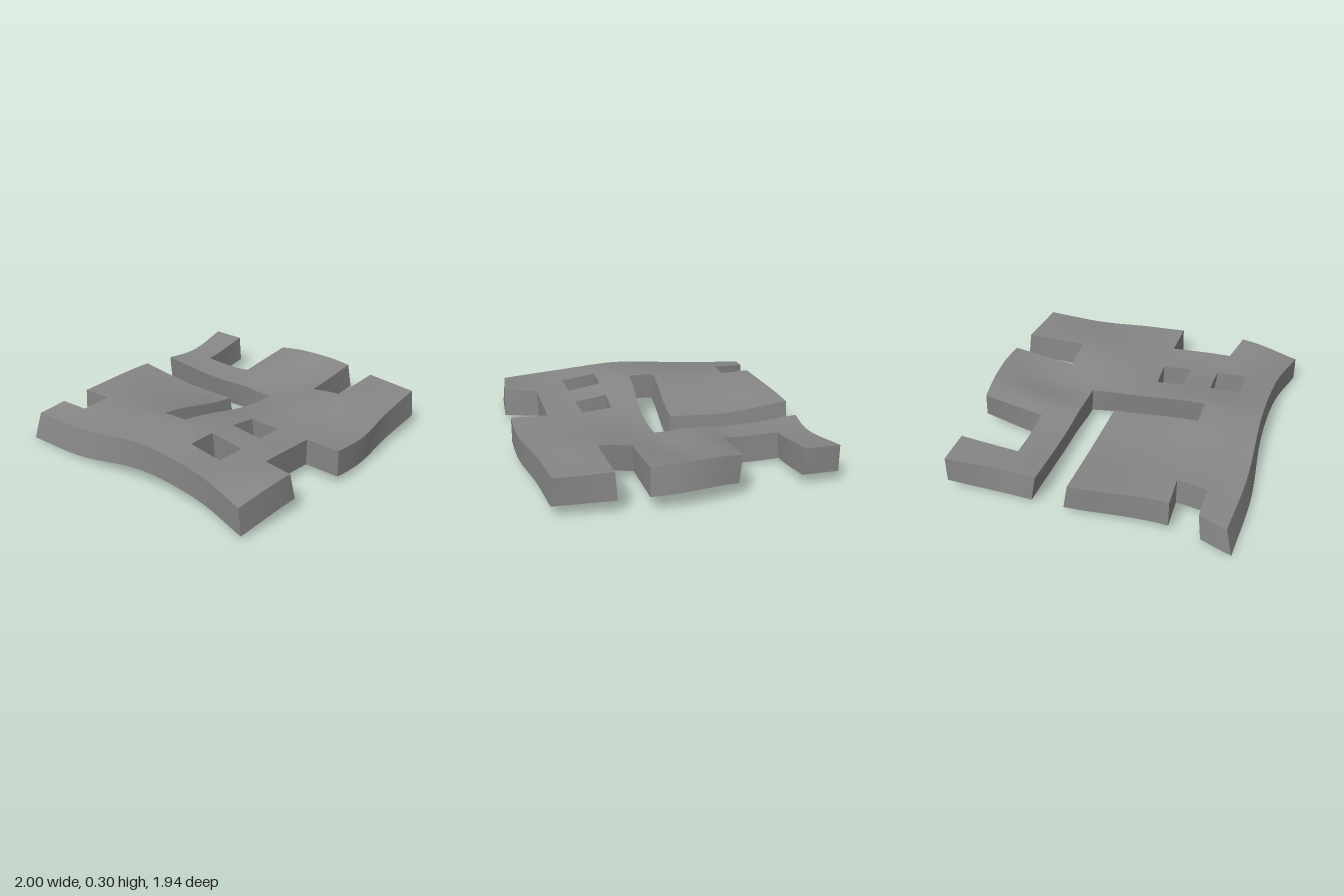
import * as THREE from 'three';
import { toCreasedNormals } from 'three/addons/utils/BufferGeometryUtils.js';

// Cell plan of the slab: rows run back to front, columns from -x to +x
const PLAN = [
  '#.###.###',
  '#####.#..',
  '#####.#..',
  '#####.###',
  '##....###',
  '#########',
  '#.#.###..',
  '#########',
  '##..#####',
];
const SUB = 6;

// Control lattice of the warp, at these grid lines in both directions
const NODES = [0, 2, 5, 7, 9];
const X = [
  [-0.93, -0.56, 0.08, 0.52, 0.90],
  [-0.95, -0.54, 0.08, 0.51, 0.90],
  [-0.92, -0.53, 0.06, 0.52, 0.96],
  [-0.93, -0.51, 0.08, 0.52, 0.93],
  [-1.00, -0.59, 0.10, 0.51, 0.90],
];
const Z = [
  [-0.95, -0.90, -0.95, -0.91, -0.97],
  [-0.50, -0.49, -0.49, -0.51, -0.51],
  [0.05, 0.04, 0.085, 0.06, 0.07],
  [0.51, 0.50, 0.47, 0.505, 0.49],
  [0.90, 0.945, 0.96, 0.89, 0.855],
];
const TOP = [
  [0.19, 0.25, 0.24, 0.22, 0.26],
  [0.22, 0.26, 0.20, 0.21, 0.27],
  [0.285, 0.31, 0.22, 0.21, 0.30],
  [0.26, 0.25, 0.23, 0.27, 0.28],
  [0.21, 0.27, 0.23, 0.24, 0.27],
];
// Sideways shift of the underside, on the same lattice
const SHIFT_X = [
  [-0.045, 0, 0.03, 0.02, 0],
  [-0.035, 0, 0.035, 0.02, 0.01],
  [-0.01, 0.01, 0.02, 0, 0.04],
  [0, 0.02, 0, 0, 0.02],
  [0, 0.04, -0.02, 0, 0],
];
const SHIFT_Z = [
  [-0.025, -0.01, 0, -0.02, 0],
  [0, -0.01, 0, 0, 0.02],
  [0, 0.02, 0.02, 0, 0.03],
  [0, -0.01, 0, -0.01, -0.01],
  [0.02, 0.01, 0, 0.01, 0.02],
];
const THICKNESS = 0.18;

// Smooth curve through five values placed at NODES
function spline(v, t) {
  let k = 0;
  while (k < 3 && t > NODES[k + 1]) k++;
  const slope = (i) => {
    const a = Math.max(0, i - 1), b = Math.min(4, i + 1);
    return (v[b] - v[a]) / (NODES[b] - NODES[a]);
  };
  const h = NODES[k + 1] - NODES[k], s = (t - NODES[k]) / h;
  const s2 = s * s, s3 = s2 * s;
  return (2 * s3 - 3 * s2 + 1) * v[k] + (s3 - 2 * s2 + s) * h * slope(k)
    + (3 * s2 - 2 * s3) * v[k + 1] + (s3 - s2) * h * slope(k + 1);
}
const surface = (table, u, v) => spline(table.map((row) => spline(row, u)), v);

// Warped point at grid position (u, v); depth 0 = top face, 1 = underside
function warp(u, v, depth) {
  const ridge = 0.04 * Math.exp(-((u - 7.3) ** 2) / 2 - ((v - 3.7) ** 2) / 0.7);
  return [
    surface(X, u, v) + depth * surface(SHIFT_X, u, v),
    surface(TOP, u, v) + ridge - depth * THICKNESS,
    surface(Z, u, v) + depth * surface(SHIFT_Z, u, v),
  ];
}

function buildSlab() {
  const pos = [];
  const quad = (a, b, c, d) => pos.push(...a, ...b, ...c, ...a, ...c, ...d);
  const solid = (i, j) => PLAN[j]?.[i] === '#';

  for (let j = 0; j < 9; j++) for (let i = 0; i < 9; i++) {
    if (!solid(i, j)) continue;
    // Top and underside
    for (let a = 0; a < SUB; a++) for (let b = 0; b < SUB; b++) {
      const u0 = i + a / SUB, u1 = i + (a + 1) / SUB;
      const v0 = j + b / SUB, v1 = j + (b + 1) / SUB;
      const ring = [[u0, v0], [u0, v1], [u1, v1], [u1, v0]];
      quad(...ring.map(([u, v]) => warp(u, v, 0)));
      quad(...ring.reverse().map(([u, v]) => warp(u, v, 1)));
    }
    // Walls beside empty neighbours
    const corners = [[i, j], [i, j + 1], [i + 1, j + 1], [i + 1, j]];
    const sides = [[-1, 0], [0, 1], [1, 0], [0, -1]];
    sides.forEach(([di, dj], k) => {
      if (solid(i + di, j + dj)) return;
      const p = corners[k], q = corners[(k + 1) % 4];
      const along = (n) => [p[0] + (q[0] - p[0]) * n / SUB, p[1] + (q[1] - p[1]) * n / SUB];
      for (let n = 0; n < SUB; n++) {
        const s = along(n), e = along(n + 1);
        quad(warp(...e, 0), warp(...s, 0), warp(...s, 1), warp(...e, 1));
      }
    });
  }

  const geo = new THREE.BufferGeometry();
  geo.setAttribute('position', new THREE.Float32BufferAttribute(pos, 3));
  // Rest on the ground, centred
  geo.computeBoundingBox();
  const box = geo.boundingBox, mid = box.getCenter(new THREE.Vector3());
  geo.translate(-mid.x, -box.min.y, -mid.z);
  return toCreasedNormals(geo, 0.7);
}

export function createModel() {
  const group = new THREE.Group();
  group.name = 'warpedSlab';
  const grey = new THREE.MeshStandardMaterial({ color: 0x868686 });
  grey.name = 'stone grey';
  const slab = new THREE.Mesh(buildSlab(), grey);
  slab.name = 'notchedSlab';
  group.add(slab);
  return group;
}
